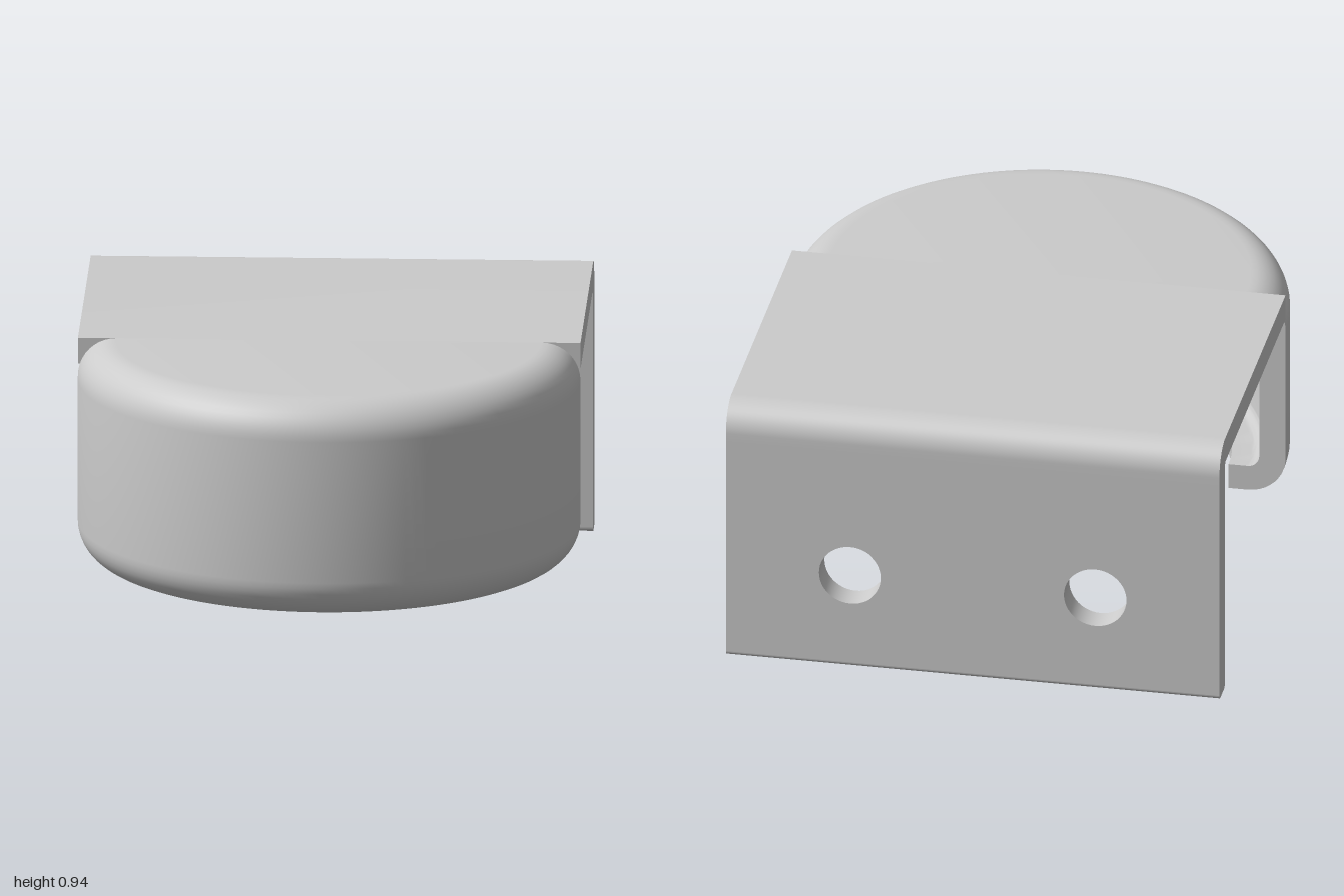
import * as THREE from 'three';
import { toCreasedNormals } from 'three/addons/utils/BufferGeometryUtils.js';

const W = 0.845;     // half width and cup radius
const TOP = 0.94;    // top surface
const T = 0.09;      // sheet thickness
const CUP_Z = 0.155; // plane where the half-round cup meets the plate
const HALF_PI = Math.PI / 2;

const material = new THREE.MeshStandardMaterial({ color: 0xcccccc });

function addMesh(group, name, geometry) {
  const mesh = new THREE.Mesh(toCreasedNormals(geometry, 0.5), material);
  mesh.name = name;
  group.add(mesh);
}

// Extrudes a side profile, drawn as (-z, y), across the full width
function extrudeAcross(shape) {
  return new THREE.ExtrudeGeometry(shape, { depth: 2 * W, bevelEnabled: false, curveSegments: 8 })
    .translate(0, 0, -W).rotateY(HALF_PI);
}

// Cup wall section from the axis: underside, inner wall, lip, outer wall, top
function cupProfile() {
  const bottom = 0.19, lipRadius = 0.65, R = 0.13, r = R - T;
  const high = TOP - R, low = bottom + R, c = W - R;
  const path = new THREE.Path();
  path.moveTo(0, TOP - T);
  path.lineTo(c, TOP - T);
  path.absarc(c, high, r, HALF_PI, 0, true);
  path.absarc(c, low, r, 0, -HALF_PI, true);
  path.lineTo(lipRadius, bottom + T);
  path.lineTo(lipRadius, bottom);
  path.absarc(c, low, R, -HALF_PI, 0, false);
  path.absarc(c, high, R, 0, HALF_PI, false);
  path.lineTo(0, TOP);
  return path.getPoints(5);
}

export function createModel() {
  const group = new THREE.Group();
  group.name = 'bracketWithCup';

  // Half-round cup with rounded rims and an inward lip
  const profile = cupProfile();
  addMesh(group, 'cup',
    new THREE.LatheGeometry(profile, 72, -HALF_PI, Math.PI).translate(0, 0, CUP_Z));

  // Flat cut faces closing the cup wall, facing back
  const mirrored = profile.slice(1, -1).reverse().map((p) => new THREE.Vector2(-p.x, p.y));
  const section = new THREE.Shape([...profile, ...mirrored]);
  addMesh(group, 'cupCutFace',
    new THREE.ShapeGeometry(section).rotateY(Math.PI).translate(0, 0, CUP_Z));

  // Top plate with its rounded bend
  const seam = 0.81, bend = 0.1, inner = 0.02, panelFront = 0.905;
  const plate = new THREE.Shape();
  plate.moveTo(-CUP_Z, TOP - T);
  plate.lineTo(panelFront - inner, TOP - T);
  plate.absarc(panelFront - inner, TOP - T - inner, inner, HALF_PI, 0, true);
  plate.lineTo(panelFront, seam);
  plate.lineTo(1, seam);
  plate.absarc(1 - bend, TOP - bend, bend, 0, HALF_PI, false);
  plate.lineTo(-CUP_Z, TOP);
  plate.closePath();
  addMesh(group, 'topPlate', extrudeAcross(plate));

  // Back panel with two screw holes
  const edge = 0.015;
  const panel = new THREE.Shape([
    new THREE.Vector2(-W, edge), new THREE.Vector2(W, edge),
    new THREE.Vector2(W, seam), new THREE.Vector2(-W, seam),
  ]);
  for (const x of [-0.42, 0.42]) {
    panel.holes.push(new THREE.Path().absarc(x, 0.345, 0.107, 0, Math.PI * 2, true));
  }
  addMesh(group, 'backPanel',
    new THREE.ExtrudeGeometry(panel, { depth: 1 - panelFront, bevelEnabled: false, curveSegments: 24 })
      .translate(0, 0, -1));

  // Softened lower edge of the back panel
  const foot = new THREE.Shape();
  foot.moveTo(1, edge);
  foot.lineTo(panelFront, edge);
  foot.absarc(panelFront + edge, edge, edge, Math.PI, 1.5 * Math.PI, false);
  foot.absarc(1 - edge, edge, edge, -HALF_PI, 0, false);
  addMesh(group, 'panelFoot', extrudeAcross(foot));

  return group;
}
